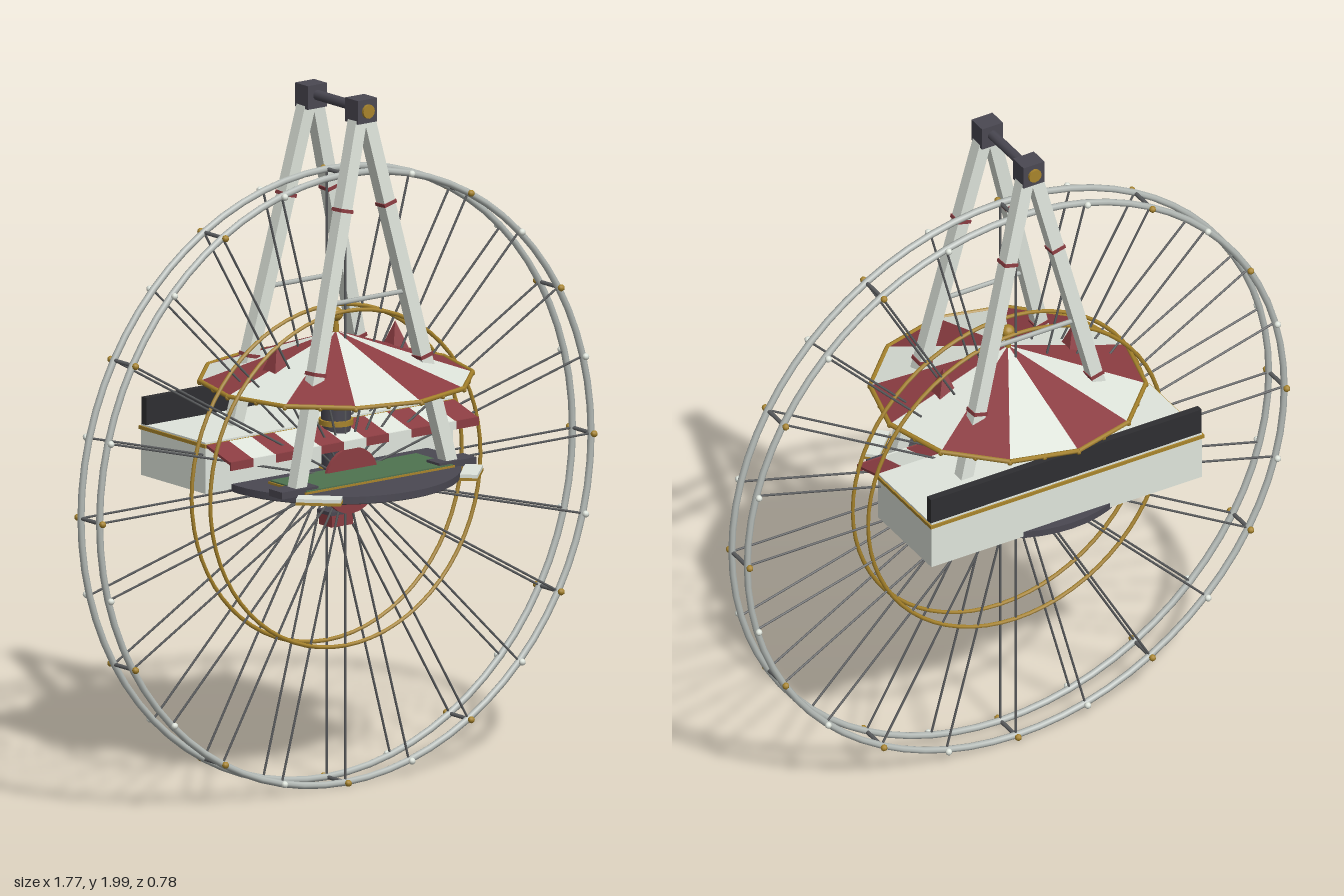
import * as THREE from 'three';

const mat = (c, side = THREE.FrontSide) => new THREE.MeshStandardMaterial({ color: c, flatShading: false, side });
const WHITE = mat(0xdfe5dc), RED = mat(0x8c3d42), GOLD = mat(0xa8842c), DARK = mat(0x4a4852),
  BLACK = mat(0x2e2e31), GREEN = mat(0x4f7350), STEEL = mat(0xb4bab6), SPOKE = mat(0x5c5e60);
const WHITE2 = mat(0xdfe5dc, THREE.DoubleSide), RED2 = mat(0x8c3d42, THREE.DoubleSide);
const V = (x, y, z) => new THREE.Vector3(x, y, z);

export function createModel() {
  const root = new THREE.Group();
  root.name = 'fairgroundWheel';
  const group = (name, parent = root) => {
    const g = new THREE.Group();
    g.name = name;
    parent.add(g);
    return g;
  };
  const add = (parent, name, geo, m, x = 0, y = 0, z = 0) => {
    const mesh = new THREE.Mesh(geo, m);
    mesh.name = name;
    mesh.position.set(x, y, z);
    parent.add(mesh);
    return mesh;
  };
  const box = (parent, name, m, w, h, d, x, y, z) => add(parent, name, new THREE.BoxGeometry(w, h, d), m, x, y, z);
  // Straight member from a to b; four sides gives a square post
  const bar = (parent, name, m, a, b, r, sides = 6) => {
    const geo = new THREE.CylinderGeometry(r, r, a.distanceTo(b), sides);
    if (sides === 4) geo.rotateY(Math.PI / 4);
    const mesh = add(parent, name, sides === 4 ? geo.toNonIndexed() : geo, m);
    if (sides === 4) mesh.geometry.computeVertexNormals();
    mesh.position.copy(a).lerp(b, 0.5);
    mesh.quaternion.setFromUnitVectors(V(0, 1, 0), b.clone().sub(a).normalize());
    return mesh;
  };

  // Big wheel: paired rims, inner rings, spokes, lamps and cross ties
  const wheel = group('wheel');
  const CY = 0.893, R = 0.873;
  const bulbGeo = new THREE.SphereGeometry(0.01, 8, 6);
  for (const s of [-1, 1]) {
    const z = s * 0.042;
    add(wheel, 'outerRim', new THREE.TorusGeometry(R, 0.01, 8, 72), STEEL, 0, CY, z);
    add(wheel, 'innerRing', new THREE.TorusGeometry(0.48, 0.006, 6, 64), GOLD, 0, CY, z);
    for (let i = 0; i < 24; i++) {
      const a = i * Math.PI / 12, c = Math.cos(a), n = Math.sin(a);
      bar(wheel, 'spoke', SPOKE, V(c * 0.03, CY + n * 0.03, z), V(c * R, CY + n * R, z), 0.0035, 5);
      add(wheel, 'rimLamp', bulbGeo, i % 2 ? WHITE : GOLD, c * R, CY + n * R, s * 0.056);
    }
  }
  for (let i = 0; i < 12; i++) {
    const a = i * Math.PI / 6, x = Math.cos(a) * R, y = CY + Math.sin(a) * R;
    bar(wheel, 'rimTie', SPOKE, V(x, y, -0.042), V(x, y, 0.042), 0.006);
  }

  // Hub with flanges and hanging counterweight
  const hub = group('hub');
  bar(hub, 'hubBarrel', GOLD, V(0, CY, -0.065), V(0, CY, 0.065), 0.045, 16);
  for (const s of [-1, 1]) {
    bar(hub, 'hubFlange', RED, V(0, CY, s * 0.062), V(0, CY, s * 0.072), 0.095, 24);
    bar(hub, 'hubCap', GOLD, V(0, CY, s * 0.07), V(0, CY, s * 0.082), 0.028, 12);
  }
  box(hub, 'counterweight', RED, 0.075, 0.036, 0.058, 0, 0.772, 0);
  box(hub, 'counterweightLid', DARK, 0.085, 0.01, 0.064, 0, 0.793, 0);

  // Round platform with green deck and corner steps
  const platform = group('platform');
  add(platform, 'platformDisc', new THREE.CylinderGeometry(0.35, 0.35, 0.02, 48), DARK, 0, 0.905, 0);
  add(platform, 'platformUnderside', new THREE.CylinderGeometry(0.345, 0.345, 0.004, 48), BLACK, 0, 0.894, 0);
  box(platform, 'deckTrim', GOLD, 0.53, 0.008, 0.17, 0, 0.917, 0.115);
  box(platform, 'deck', GREEN, 0.52, 0.006, 0.165, 0, 0.922, 0.115);
  for (const s of [-1, 1]) {
    box(platform, 'step', WHITE, 0.125, 0.012, 0.05, s * 0.27, 0.915, 0.268).rotation.y = s * Math.PI / 4;
    box(platform, 'stepTrim', GOLD, 0.127, 0.008, 0.052, s * 0.27, 0.907, 0.268).rotation.y = s * Math.PI / 4;
  }

  // Station building behind the wheel
  const station = group('station');
  box(station, 'stationBody', WHITE, 0.88, 0.14, 0.29, 0, 0.97, -0.175);
  box(station, 'roofTrim', GOLD, 0.89, 0.01, 0.30, 0, 1.037, -0.175);
  box(station, 'stationRoof', WHITE, 0.88, 0.008, 0.29, 0, 1.043, -0.175);
  box(station, 'rearParapet', BLACK, 0.88, 0.08, 0.022, 0, 1.085, -0.307);
  // Striped sloping awning
  for (let i = 0; i < 11; i++) {
    const strip = box(station, 'awningStripe', i % 2 ? WHITE : RED, 0.08, 0.008, 0.118, (i - 5) * 0.08, 1.022, 0.028);
    strip.rotation.x = 0.28;
    box(station, 'awningValance', i % 2 ? WHITE : RED, 0.08, 0.024, 0.006, (i - 5) * 0.08, 1.0, 0.083);
  }

  // Central column
  const column = group('column');
  add(column, 'columnShaft', new THREE.CylinderGeometry(0.045, 0.04, 0.28, 12), DARK, 0, 1.05, 0);
  add(column, 'columnCollar', new THREE.CylinderGeometry(0.05, 0.05, 0.015, 12), GOLD, 0, 1.05, 0);

  // Twelve-sided striped canopy with gold rim and lamps
  const canopy = group('canopy');
  const CR = 0.385, RIM = 1.178, APEX = V(0, 1.31, 0);
  const corner = (i, r = CR, y = RIM) => V(Math.sin(i * Math.PI / 6) * r, y, -Math.cos(i * Math.PI / 6) * r);
  for (let i = 0; i < 12; i++) {
    const geo = new THREE.BufferGeometry().setFromPoints([APEX, corner(i + 1), corner(i)]);
    geo.computeVertexNormals();
    add(canopy, 'canopyPanel', geo, i % 2 ? RED2 : WHITE2);
    bar(canopy, 'canopyRim', GOLD, corner(i), corner(i + 1), 0.007);
    for (const t of [0, 0.5]) {
      const p = corner(i).lerp(corner(i + 1), t);
      add(canopy, 'canopyLamp', new THREE.SphereGeometry(0.008, 6, 5), GOLD, p.x, RIM - 0.004, p.z);
    }
  }
  add(canopy, 'canopyLining', new THREE.ConeGeometry(CR - 0.01, 0.125, 12, 1, true), mat(0xa8842c, THREE.BackSide), 0, RIM + 0.056, 0);
  add(canopy, 'finialRod', new THREE.CylinderGeometry(0.006, 0.01, 0.06, 8), GOLD, 0, 1.325, 0);
  add(canopy, 'finialBall', new THREE.SphereGeometry(0.02, 12, 10), GOLD, 0, 1.357, 0);
  for (const s of [-1, 1]) {
    const geo = new THREE.ConeGeometry(0.045, 0.09, 4).rotateY(Math.PI / 4).toNonIndexed();
    geo.computeVertexNormals();
    add(canopy, 'canopySpire', geo, RED, s * 0.21, 1.262, 0);
  }

  // A-frame towers front and back
  for (const s of [-1, 1]) {
    const tower = group(s > 0 ? 'frontTower' : 'backTower');
    for (const side of [-1, 1]) {
      const foot = V(side * 0.27, 0.92, s * 0.165), top = V(side * 0.012, 1.95, s * 0.115);
      const at = (y) => foot.clone().lerp(top, (y - foot.y) / (top.y - foot.y));
      bar(tower, 'leg', WHITE, foot, top, 0.027, 4);
      for (const y of [1.24, 1.69]) bar(tower, 'legBand', RED, at(y - 0.005), at(y + 0.005), 0.031, 4);
      box(tower, 'footPlate', DARK, 0.13, 0.02, 0.06, side * 0.28, 0.922, s * 0.165);
    }
    bar(tower, 'crossbar', STEEL, V(-0.14, 1.43, s * 0.14), V(0.14, 1.43, s * 0.14), 0.007);
    box(tower, 'towerHead', DARK, 0.068, 0.068, 0.058, 0, 1.966, s * 0.113);
    bar(tower, 'headCap', GOLD, V(0, 1.966, s * 0.14), V(0, 1.966, s * 0.15), 0.02, 12);
  }
  bar(root, 'topBeam', DARK, V(0, 1.97, -0.11), V(0, 1.97, 0.11), 0.015, 10);

  return root;
}
